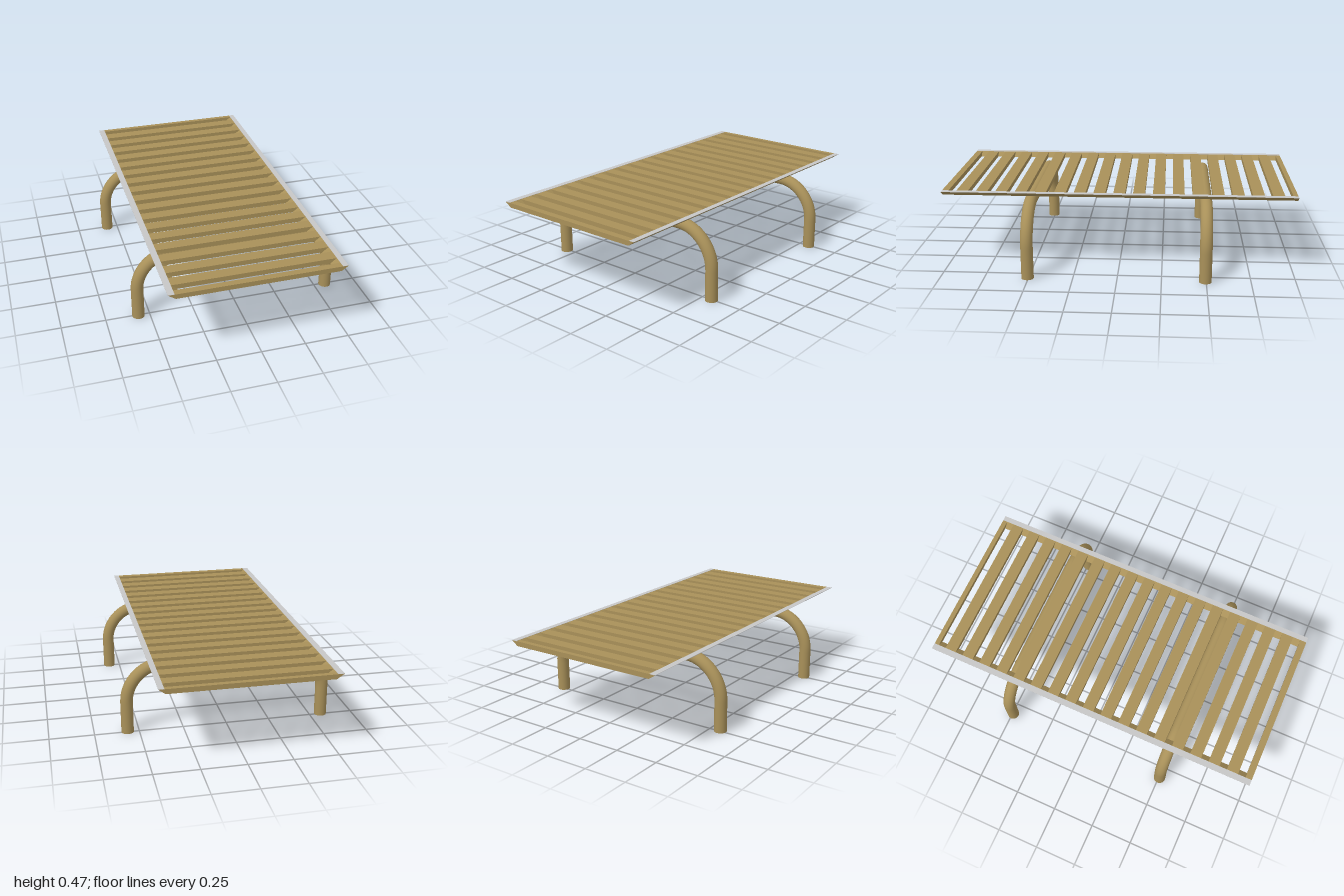
import * as THREE from 'three';

const wood = new THREE.MeshStandardMaterial({ color: 0xa89059 });
wood.name = 'wood brown';
const grey = new THREE.MeshStandardMaterial({ color: 0xc6c6c6 });
grey.name = 'light grey';

const TOP = 0.467, BOTTOM = 0.44;

function add(parent, name, geometry, material) {
  const mesh = new THREE.Mesh(geometry, material);
  mesh.name = name;
  parent.add(mesh);
  return mesh;
}

// A bar along z with a front profile given by its top and bottom x limits
function bar(topL, topR, bottomL, bottomR, z0, z1) {
  const shape = new THREE.Shape([
    new THREE.Vector2(bottomL, BOTTOM), new THREE.Vector2(bottomR, BOTTOM),
    new THREE.Vector2(topR, TOP), new THREE.Vector2(topL, TOP),
  ]);
  return new THREE.ExtrudeGeometry(shape, { depth: z1 - z0, bevelEnabled: false }).translate(0, 0, z0);
}

// Path of a bent tube: up one leg, round, across, round, and down
function hoopPath() {
  const X = 0.565, Y = 0.4, R = 0.22, K = R * 0.4477;
  const v = (x, y) => new THREE.Vector3(x, y, 0);
  const path = new THREE.CurvePath();
  path.add(new THREE.LineCurve3(v(-X, 0), v(-X, Y - R)));
  path.add(new THREE.CubicBezierCurve3(v(-X, Y - R), v(-X, Y - K), v(-X + K, Y), v(-X + R, Y)));
  path.add(new THREE.LineCurve3(v(-X + R, Y), v(X - R, Y)));
  path.add(new THREE.CubicBezierCurve3(v(X - R, Y), v(X - K, Y), v(X, Y - K), v(X, Y - R)));
  path.add(new THREE.LineCurve3(v(X, Y - R), v(X, 0)));
  return path;
}

export function createModel() {
  const model = new THREE.Group();
  model.name = 'slatted bench';

  // Slanted side rails with grey top edges
  const seat = new THREE.Group();
  seat.name = 'seat';
  model.add(seat);
  add(seat, 'rightRail', bar(-0.502, -0.467, -0.461, -0.433, -1, 1), wood);
  add(seat, 'leftRail', bar(0.43, 0.461, 0.395, 0.424, -1, 1), wood);
  for (const [name, x0, x1] of [['rightRailTop', -0.502, -0.467], ['leftRailTop', 0.43, 0.461]]) {
    add(seat, name, new THREE.BoxGeometry(x1 - x0, 0.002, 2), grey)
      .position.set((x0 + x1) / 2, TOP, 0);
  }

  // Cross slats, with narrower ones at both ends
  const pitch = 0.1112, gap = 0.045, firstGap = -0.95, gaps = 18;
  for (let i = 0; i <= gaps; i++) {
    const z0 = i === 0 ? -1 : firstGap + (i - 1) * pitch + gap / 2;
    const z1 = i === gaps ? 1 : firstGap + i * pitch - gap / 2;
    add(seat, 'slat', bar(-0.467, 0.43, -0.433, 0.395, z0, z1), wood);
  }

  // Two bent tube legs with grey feet
  for (const [name, z] of [['frontLeg', 0.505], ['backLeg', -0.495]]) {
    const leg = new THREE.Group();
    leg.name = name;
    leg.position.z = z;
    model.add(leg);
    add(leg, 'tube', new THREE.TubeGeometry(hoopPath(), 100, 0.035, 24), wood);
    for (const side of [-1, 1]) {
      const foot = add(leg, 'foot', new THREE.CircleGeometry(0.035, 24), grey);
      foot.rotation.x = Math.PI / 2;
      foot.position.x = side * 0.565;
    }
  }
  return model;
}
